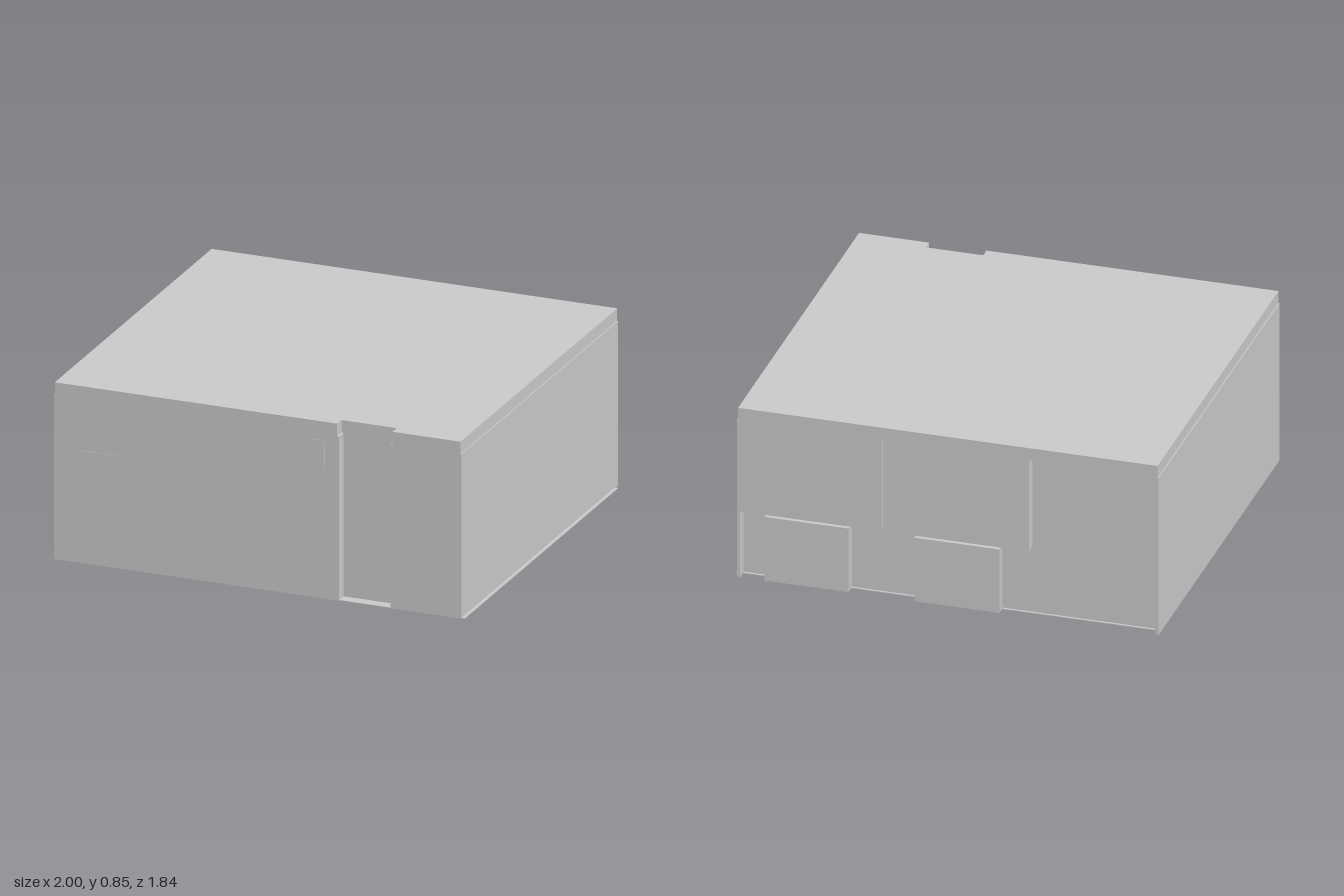
import * as THREE from 'three';

export function createModel() {
  const building = new THREE.Group();
  building.name = 'building';
  const grey = new THREE.MeshStandardMaterial({ color: 0xcccccc, flatShading: true });

  // Box given by its lower and upper limits on each axis
  const block = (name, x0, x1, y0, y1, z0, z1) => {
    const mesh = new THREE.Mesh(new THREE.BoxGeometry(x1 - x0, y1 - y0, z1 - z0), grey);
    mesh.position.set((x0 + x1) / 2, (y0 + y1) / 2, (z0 + z1) / 2);
    mesh.name = name;
    building.add(mesh);
  };

  const left = 0.985, right = -1;
  const face = 0.92, recess = 0.87;
  const eave = 0.79, roofTop = 0.85, ledge = 0.33;

  // Main volume and floor slab
  block('core', right, left, 0.004, eave, -recess, recess);
  block('floorSlab', right, 1, 0, 0.004, -0.88, face);

  // Front wall panels either side of the full-height recess
  block('frontWallWide', right, 0.39, 0, eave, recess, face);
  block('frontWallNarrow', 0.64, left, 0, eave, recess, face);
  block('frontDoor', -0.905, -0.66, 0.02, 0.54, face - 0.01, face + 0.002);
  block('frontVent', 0.25, 0.32, 0.63, 0.76, face - 0.01, face + 0.002);

  // Upper back panels, overhanging the set-back lower wall
  const backPanels = [[right, -0.64], [-0.39, 0.298], [0.302, left]];
  for (const [x0, x1] of backPanels) block('backUpperPanel', x0, x1, ledge, eave, -face, -recess);

  // Lower back: projecting bays and thin corner posts
  const bays = [[0.46, 0.855], [-0.25, 0.15]];
  for (const [x0, x1] of bays) block('backBay', x0, x1, 0, ledge - 0.01, -face, -recess);
  block('backCornerPost', right, right + 0.015, 0, ledge, -face, -recess);
  block('backCornerPost', left - 0.015, left, 0, ledge, -face, -recess);

  // Roof with fascia, notched above the front recess (shape y becomes -z)
  const outline = new THREE.Shape([
    [-0.995, -face], [0.38, -face], [0.38, -recess], [0.65, -recess],
    [0.65, -face], [0.98, -face], [0.98, face], [-0.995, face],
  ].map(([x, y]) => new THREE.Vector2(x, y)));
  const roof = new THREE.Mesh(
    new THREE.ExtrudeGeometry(outline, { depth: roofTop - eave, bevelEnabled: false }), grey);
  roof.rotation.x = -Math.PI / 2;
  roof.position.y = eave;
  roof.name = 'roof';
  building.add(roof);

  // Roof sheet seams
  for (const x of [-0.335, 0.325]) block('roofSeam', x - 0.002, x + 0.002, roofTop - 0.01, roofTop + 0.001, -0.91, 0.91);

  return building;
}
